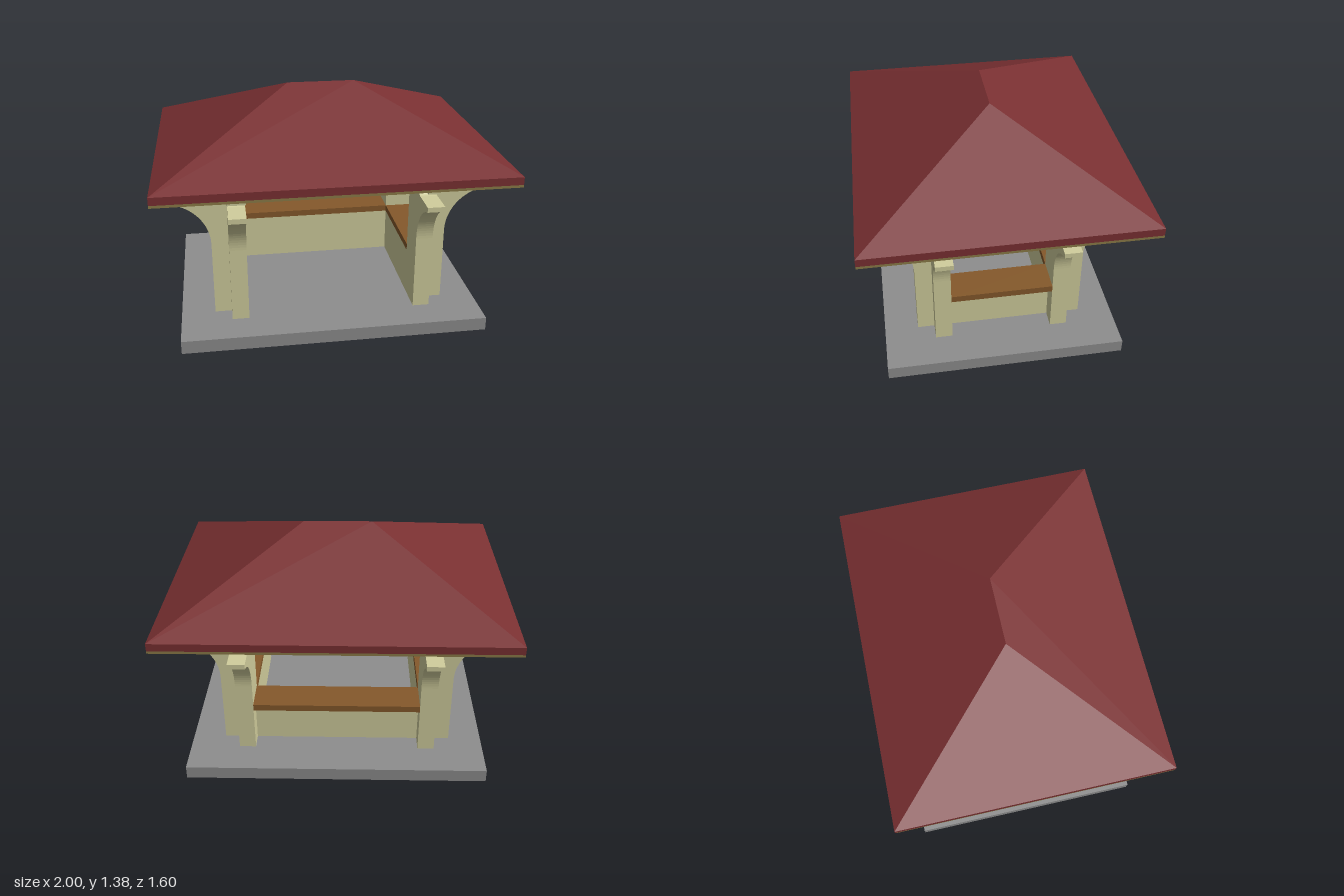
import * as THREE from 'three';

const material = (name, color) => {
  const m = new THREE.MeshStandardMaterial({ color });
  m.name = name;
  return m;
};

// Post panel outline: upright, open slot with a rounded end, and curved bracket
function panelShape() {
  const r = 0.27, springY = 0.535, tip = 0.4;
  const s = new THREE.Shape();
  s.moveTo(0, 0.08);
  s.lineTo(0.2, 0.08);
  s.lineTo(0.2, springY);
  s.absarc(0.2 + r, springY, r, Math.PI, Math.PI - Math.acos((0.2 + r - tip) / r), true);
  s.lineTo(tip, 0.825);
  s.lineTo(0.24, 0.825);
  s.absarc(0.24, 0.865, 0.04, Math.PI * 1.5, Math.PI / 2, true);
  s.lineTo(tip, 0.905);
  s.lineTo(tip, 0.96);
  s.lineTo(0, 0.96);
  s.closePath();
  return s;
}

// Hipped roof skin from rectangular loops that end in a ridge
function roofGeometry() {
  const loops = [[1, 0.975, 0.8], [1, 1.02, 0.8], [0.2, 1.38, 0]].map(([x, y, z]) =>
    [[-x, z], [x, z], [x, -z], [-x, -z]].map(([px, pz]) => new THREE.Vector3(px, y, pz)));
  const points = [];
  for (let i = 0; i < loops.length - 1; i++) {
    for (let k = 0; k < 4; k++) {
      const n = (k + 1) % 4;
      const a = loops[i][k], b = loops[i][n], c = loops[i + 1][n], d = loops[i + 1][k];
      points.push(a, b, c);
      if (c.distanceTo(d) > 1e-6) points.push(a, c, d);
    }
  }
  const g = new THREE.BufferGeometry().setFromPoints(points);
  g.computeVertexNormals();
  return g;
}

export function createModel() {
  const model = new THREE.Group();
  model.name = 'pavilion';

  const stone = material('grey stone', 0x8e8e8e);
  const cream = material('cream plaster', 0xd1ce9d);
  const wood = material('brown wood', 0x85592b);
  const olive = material('olive ceiling', 0x8c7c48);
  const red = material('red roofing', 0x7a3032);

  const add = (parent, name, geometry, mat, x = 0, y = 0, z = 0, turn = 0) => {
    const mesh = new THREE.Mesh(geometry, mat);
    mesh.name = name;
    mesh.position.set(x, y, z);
    mesh.rotation.y = turn;
    parent.add(mesh);
  };

  // Base slab
  add(model, 'base', new THREE.BoxGeometry(1.8, 0.08, 1.4), stone, 0, 0.04, 0);

  // Four corner posts, each an L of two bracketed panels
  const panel = new THREE.ExtrudeGeometry(panelShape(), { depth: 0.1, bevelEnabled: false, curveSegments: 10 });
  panel.translate(0, 0, -0.05);
  for (const sx of [-1, 1]) {
    for (const sz of [-1, 1]) {
      const post = new THREE.Group();
      post.name = `${sz > 0 ? 'front' : 'back'}${sx > 0 ? 'Left' : 'Right'}Post`;
      add(post, 'sidewaysPanel', panel, cream, sx * 0.5, 0, sz * 0.35, sx > 0 ? 0 : Math.PI);
      add(post, 'lengthwisePanel', panel, cream, sx * 0.55, 0, sz * 0.3, -sz * Math.PI / 2);
      model.add(post);
    }
  }

  // Benches at the back and both sides; the front stays open
  const bench = (name, length, x, z, turn) => {
    const group = new THREE.Group();
    group.name = name;
    // Local +z points outward; the seat overhangs the wall on that side
    add(group, 'wall', new THREE.BoxGeometry(length, 0.28, 0.1), cream, 0, 0.22, 0.05);
    add(group, 'seat', new THREE.BoxGeometry(length, 0.04, 0.2), wood, 0, 0.38, 0.1);
    group.position.set(x, 0, z);
    group.rotation.y = turn;
    model.add(group);
  };
  bench('backBench', 1, 0, -0.3, Math.PI);
  bench('leftBench', 0.6, 0.5, 0, Math.PI / 2);
  bench('rightBench', 0.6, -0.5, 0, -Math.PI / 2);

  // Ceiling board and hipped roof
  add(model, 'ceiling', new THREE.BoxGeometry(2, 0.015, 1.6), olive, 0, 0.9675, 0);
  add(model, 'roof', roofGeometry(), red);

  return model;
}
